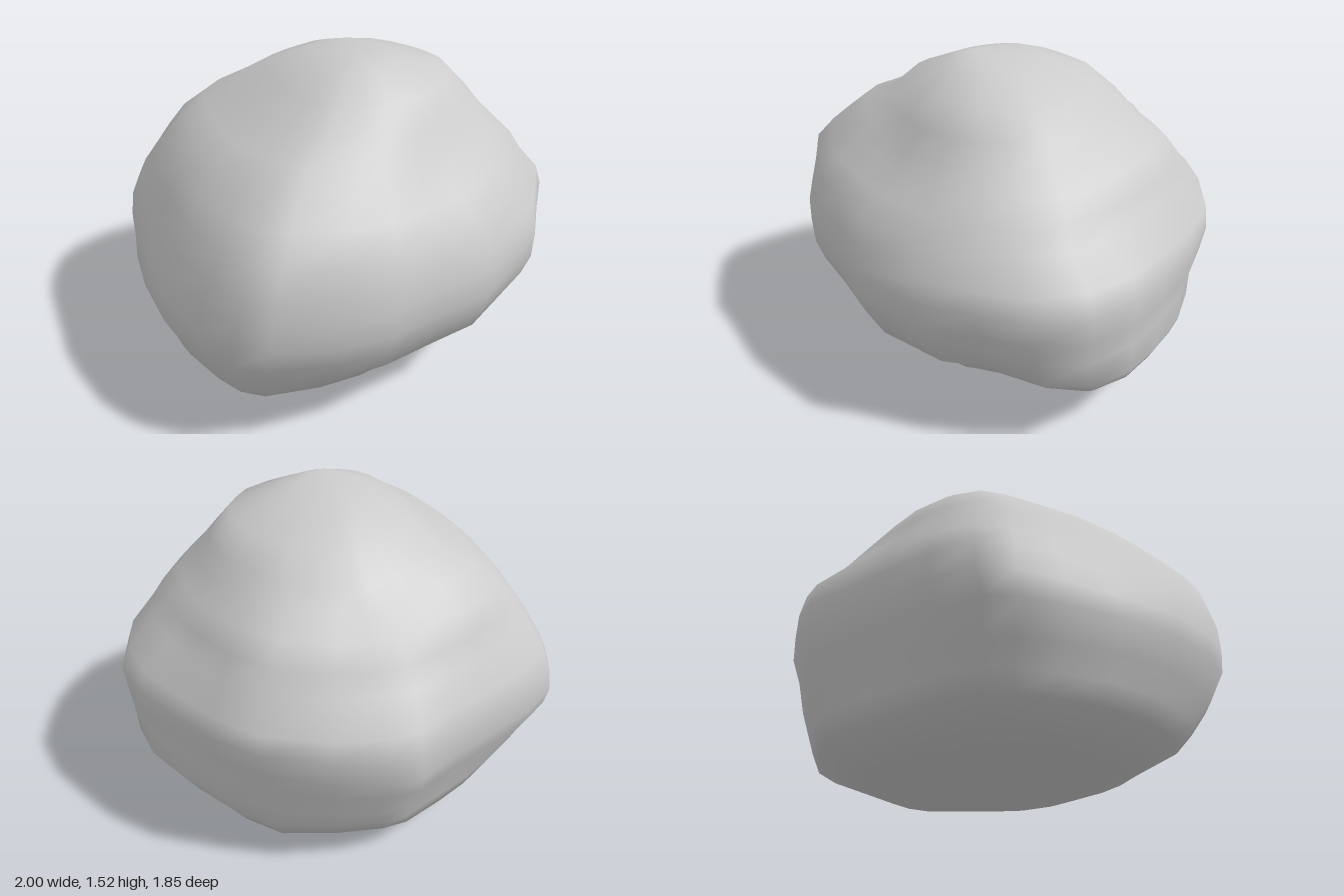
import * as THREE from 'three';

// Plan outline of the boulder, [x, z], scaled to each level below
const OUTLINE = [
  [0.06, -0.92], [0.2, -0.9], [0.42, -0.8], [0.66, -0.62], [0.79, -0.43], [0.9, -0.2],
  [0.98, 0], [1, 0.22], [0.92, 0.44], [0.75, 0.62], [0.56, 0.79], [0.2, 0.9],
  [-0.05, 0.9], [-0.3, 0.918], [-0.52, 0.87], [-0.78, 0.74], [-0.88, 0.64], [-0.95, 0.48],
  [-1, 0.2], [-0.98, -0.1], [-0.92, -0.35], [-0.86, -0.55], [-0.78, -0.68], [-0.6, -0.76],
  [-0.38, -0.81], [-0.18, -0.85],
];

// Levels: y, xMin, xMax, zMin, zMax
const LEVELS = [
  [0.015, -0.18, 0.13, -0.03, 0.3],
  [0.05, -0.48, 0.36, -0.3, 0.43],
  [0.08, -0.69, 0.6, -0.55, 0.52],
  [0.17, -0.87, 0.81, -0.75, 0.63],
  [0.26, -0.91, 0.9, -0.79, 0.71],
  [0.37, -0.95, 0.98, -0.83, 0.82],
  [0.5, -1.01, 0.98, -0.88, 0.89],
  [0.61, -1, 0.99, -0.92, 0.925],
  [0.73, -0.985, 1, -0.91, 0.925],
  [0.83, -0.94, 0.96, -0.89, 0.91],
  [0.95, -0.88, 0.84, -0.79, 0.88],
  [1.05, -0.8, 0.79, -0.74, 0.81],
  [1.14, -0.71, 0.71, -0.68, 0.73],
  [1.22, -0.61, 0.62, -0.57, 0.66],
  [1.3, -0.46, 0.55, -0.46, 0.57],
  [1.4, -0.35, 0.44, -0.32, 0.49],
  [1.47, -0.19, 0.2, -0.13, 0.33],
];

// Soft hollows (positive) and bulges (negative): x, y, z, radius, depth
const DENTS = [
  [0.62, 1.02, 0.12, 0.24, 0.06],
  [0.15, 1.1, -0.62, 0.24, 0.07],
  [0.12, 1.1, 0.68, 0.28, 0.07],
  [0.5, 0.88, 0.66, 0.2, 0.03],
  [0.78, 0.6, 0.62, 0.22, 0.03],
  [0.65, 0.25, 0.5, 0.28, 0.09],
  [-0.95, 0.8, -0.05, 0.24, 0.05],
  [0.6, 1.05, -0.48, 0.26, -0.055],
  [0.68, 0.42, -0.65, 0.25, 0.03],
  [0.62, 0.12, -0.55, 0.22, -0.04],
  [-0.5, 1.15, 0.5, 0.24, -0.03],
  [-0.72, 0.93, 0.65, 0.22, -0.05],
  [-0.35, 1.2, -0.45, 0.25, -0.03],
  [-0.6, 0.13, -0.6, 0.24, 0.04],
  [-0.75, 0.2, 0.58, 0.26, -0.05],
];

const CENTRE = new THREE.Vector3(0, 0.65, 0);

function weather(p) {
  const inward = CENTRE.clone().sub(p).normalize();
  let push = 0;
  for (const [x, y, z, r, depth] of DENTS) {
    const d = p.distanceTo(new THREE.Vector3(x, y, z)) / r;
    push += depth * Math.exp(-d * d);
  }
  return p.addScaledVector(inward, push);
}

function createRockGeometry() {
  const n = OUTLINE.length;
  const positions = [];
  const index = [];

  // Rings, slightly rounder towards the top and bottom
  for (const [y, x0, x1, z0, z1] of LEVELS) {
    const round = 0.5 * Math.min(1, Math.abs(y - 0.65) / 0.9);
    for (const [ox, oz] of OUTLINE) {
      const u = ox, v = oz / 0.918;
      const k = 1 + (1 / Math.hypot(u, v) - 1) * round;
      const p = new THREE.Vector3(
        (x0 + x1) / 2 + (u * k * (x1 - x0)) / 2, y, (z0 + z1) / 2 + (v * k * (z1 - z0)) / 2);
      positions.push(...weather(p).toArray());
    }
  }

  // Skin between the rings
  for (let j = 0; j < LEVELS.length - 1; j++) {
    for (let i = 0; i < n; i++) {
      const a = j * n + i, b = j * n + (i + 1) % n;
      index.push(a, a + n, b, b, a + n, b + n);
    }
  }

  // Underside and peak
  const bottom = positions.length / 3, top = bottom + 1;
  positions.push(-0.05, 0, 0.14, -0.03, 1.52, 0.21);
  const last = (LEVELS.length - 1) * n;
  for (let i = 0; i < n; i++) {
    const next = (i + 1) % n;
    index.push(bottom, i, next, top, last + next, last + i);
  }

  const geometry = new THREE.BufferGeometry();
  geometry.setAttribute('position', new THREE.Float32BufferAttribute(positions, 3));
  geometry.setIndex(index);
  geometry.computeVertexNormals();
  return geometry;
}

export function createModel() {
  const group = new THREE.Group();
  group.name = 'boulder';
  const rock = new THREE.Mesh(
    createRockGeometry(), new THREE.MeshStandardMaterial({ color: 0xcccccc }));
  rock.name = 'rock';
  group.add(rock);
  return group;
}
